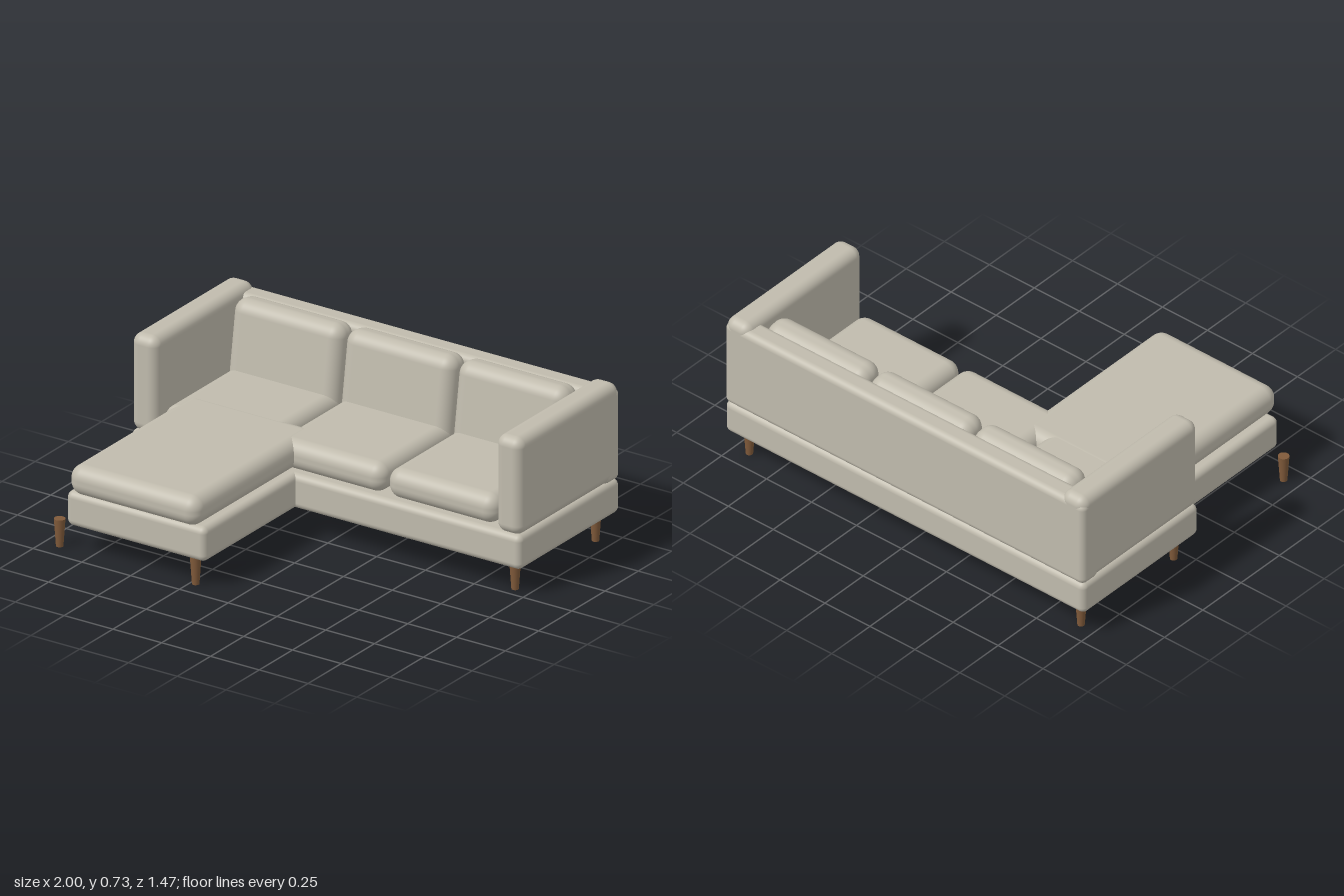
import * as THREE from 'three';
import { RoundedBoxGeometry } from 'three/addons/geometries/RoundedBoxGeometry.js';

export function createModel() {
  const sofa = new THREE.Group();
  sofa.name = 'sectionalSofa';

  const fabric = new THREE.MeshStandardMaterial({ color: 0xc0bbad });
  fabric.name = 'beige fabric';
  const wood = new THREE.MeshStandardMaterial({ color: 0x805a3a });
  wood.name = 'brown wood';

  // Rounded upholstered block given by its limits on each axis
  function block(name, [x0, x1], [y0, y1], [z0, z1], radius) {
    const geometry = new RoundedBoxGeometry(x1 - x0, y1 - y0, z1 - z0, 6, radius);
    const mesh = new THREE.Mesh(geometry, fabric);
    mesh.name = name;
    mesh.position.set((x0 + x1) / 2, (y0 + y1) / 2, (z0 + z1) / 2);
    sofa.add(mesh);
    return mesh;
  }

  // Bases
  block('mainBase', [-1, 1], [0.125, 0.285], [-0.735, 0.022], 0.03);
  block('chaiseBase', [-0.865, -0.15], [0.125, 0.285], [-0.3, 0.705], 0.03);

  // Backrest panel and arms
  block('backPanel', [-1, 1], [0.28, 0.703], [-0.737, -0.63], 0.03);
  block('rightArm', [-1, -0.867], [0.28, 0.73], [-0.737, 0.022], 0.045);
  block('leftArm', [0.867, 1], [0.28, 0.73], [-0.737, 0.022], 0.045);

  // Three seats, each with a back cushion leaning rearward
  ['right', 'middle', 'left'].forEach((side, i) => {
    const x = (i - 1) * 0.575 - 0.002;
    const width = [x - 0.281, x + 0.281];
    block(side + 'SeatCushion', width, [0.283, 0.419], [-0.63, 0.003], 0.06);
    const back = block(side + 'BackCushion', width, [0.28, 0.72], [-0.636, -0.496], 0.06);
    back.rotation.x = -0.15;
  });

  // Long chaise cushion
  block('chaiseCushion', [-0.84, -0.172], [0.283, 0.42], [-0.2, 0.737], 0.06);

  // Tapered wooden legs
  const legGeometry = new THREE.CylinderGeometry(0.025, 0.016, 0.128, 20);
  const legSpots = [
    [-0.922, -0.66], [0.922, -0.66], [-0.922, -0.055],
    [0.922, -0.055], [-0.922, 0.664], [-0.225, 0.664],
  ];
  for (const [x, z] of legSpots) {
    const leg = new THREE.Mesh(legGeometry, wood);
    leg.name = 'leg';
    leg.position.set(x, 0.064, z);
    sofa.add(leg);
  }

  return sofa;
}
